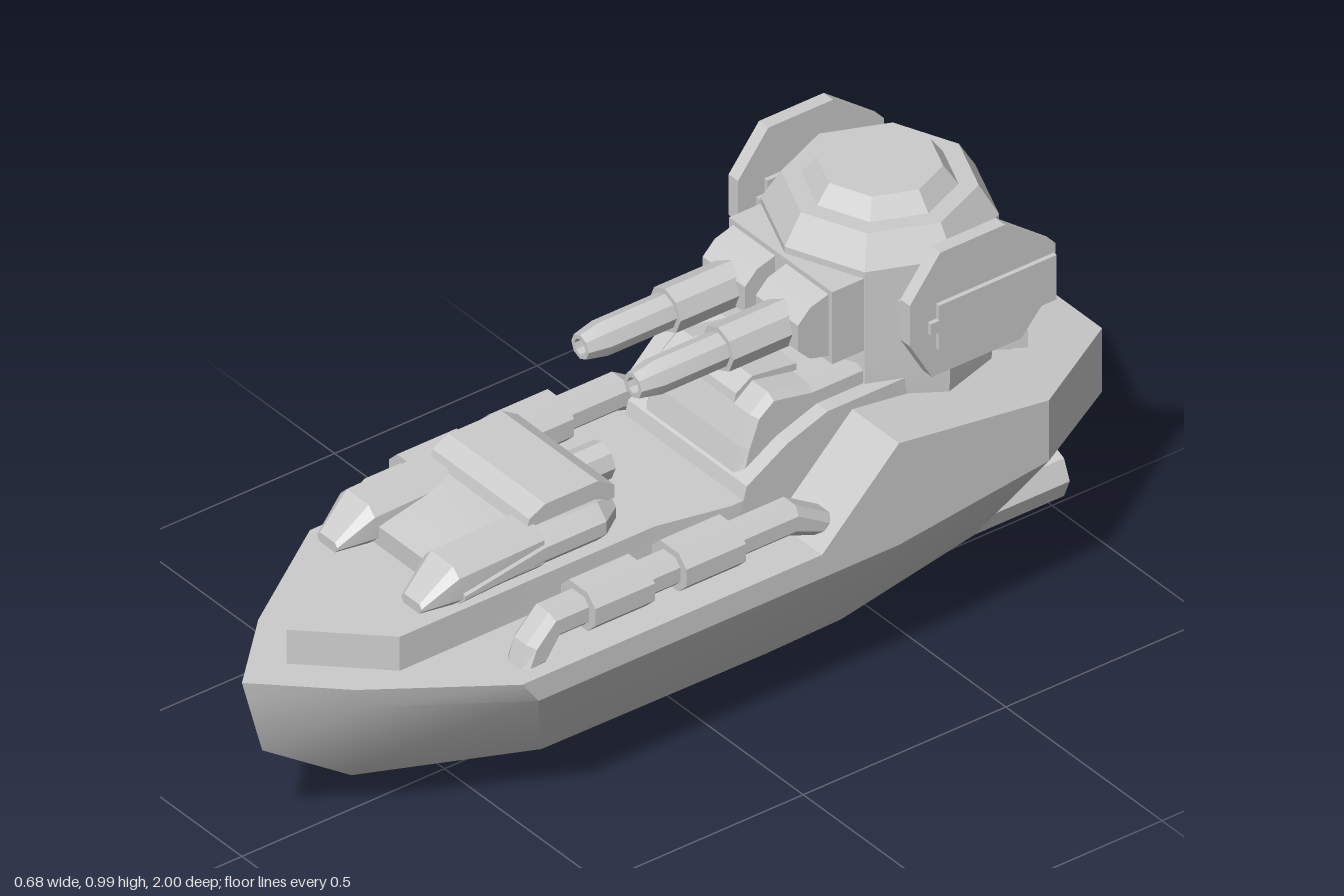
import * as THREE from 'three';
import { toCreasedNormals } from 'three/addons/utils/BufferGeometryUtils.js';

const material = new THREE.MeshStandardMaterial({ color: 0xcccccc });

// Skin between rings listed from bow to stern; each ring runs counterclockwise seen from +z.
function loft(rings, crease = 0.3) {
  const pos = [];
  const tri = (a, b, c) => pos.push(...a, ...b, ...c);
  const n = rings[0].length;
  for (let i = 0; i < rings.length - 1; i++) {
    for (let j = 0; j < n; j++) {
      const k = (j + 1) % n;
      const [a, b] = [rings[i][j], rings[i][k]];
      const [d, c] = [rings[i + 1][j], rings[i + 1][k]];
      tri(a, d, c);
      tri(a, c, b);
    }
  }
  const last = rings[rings.length - 1];
  for (let j = 1; j < n - 1; j++) {
    tri(rings[0][0], rings[0][j], rings[0][j + 1]);
    tri(last[0], last[j + 1], last[j]);
  }
  const g = new THREE.BufferGeometry();
  g.setAttribute('position', new THREE.Float32BufferAttribute(pos, 3));
  return toCreasedNormals(g, crease);
}

// Eight-sided bar along z with chamfered corners; stations are [z, halfWidth, bottom, top, chamfer].
function chamferedBar(stations, cx = 0) {
  return loft(stations.map(([z, h, b, t, c]) => [
    [h - c, b], [h, b + c], [h, t - c], [h - c, t],
    [c - h, t], [-h, t - c], [-h, b + c], [c - h, b],
  ].map(([x, y]) => [x + cx, y, z])));
}

// Side profile of [z, y] points given a width in x.
function sideProfile(points, width, cx = 0, bevel = 0) {
  const shape = new THREE.Shape(points.map(([z, y]) => new THREE.Vector2(z, y)));
  const depth = width - 2 * bevel;
  const g = new THREE.ExtrudeGeometry(shape, {
    depth, bevelEnabled: bevel > 0, bevelSize: bevel, bevelThickness: bevel, bevelOffset: -bevel, bevelSegments: 1,
  });
  return g.translate(0, 0, -depth / 2).rotateY(-Math.PI / 2).translate(cx, 0, 0);
}

// Faceted turned part about y.
function turned(points, sides = 8, crease = 0.3) {
  const g = new THREE.LatheGeometry(points.map(([r, y]) => new THREE.Vector2(r, y)), sides);
  return toCreasedNormals(g.toNonIndexed(), crease);
}

const box = (w, h, d, x, y, z) => new THREE.BoxGeometry(w, h, d).translate(x, y, z);

export function createModel() {
  const model = new THREE.Group();
  const add = (name, geometry) => {
    const mesh = new THREE.Mesh(geometry, material);
    mesh.name = name;
    model.add(mesh);
    return mesh;
  };

  // Hull lines from bow to stern: [x, y, z]
  const keel = [[0, .23, .95], [0, .08, .73], [0, 0, .2], [0, 0, -.17], [0, 0, -.36], [0, .08, -.72], [0, .24, -.95]];
  const chine = [[0, .23, .95], [.085, .16, .73], [.155, .08, .38], [.16, .08, -.17], [.155, .08, -.36], [.14, .13, -.7], [.08, .25, -.955]];
  const knuckle = [[0, .36, .985], [.145, .355, .82], [.34, .355, .53], [.34, .355, -.17], [.34, .355, -.36], [.34, .4, -.73], [.16, .355, -1]];
  const sheer = [[0, .41, 1], [.155, .41, .84], [.34, .41, .57], [.34, .41, -.17], [.34, .595, -.36], [.34, .543, -.73], [.16, .505, -1]];
  const flip = ([x, y, z]) => [-x, y, z];
  add('hull', loft(keel.map((k, i) => {
    const side = [chine[i], knuckle[i], sheer[i]];
    return [k, ...side, ...side.map(flip).reverse()];
  }), 0.55));

  // Raised foredeck
  const deckStations = [[.89, 0], [.73, .155], [.1, .155], [-.06, .19], [-.36, .19]];
  add('foredeck', loft(deckStations.map(([z, x]) => [[x, .4, z], [x, .49, z], [-x, .49, z], [-x, .4, z]])));

  // Bridge in front of the turret
  add('bridgeBase', sideProfile([[-.08, .45], [-.1, .52], [-.2, .58], [-.3, .615], [-.6, .615], [-.6, .45]], .38));
  add('bridge', sideProfile([[-.1, .5], [-.12, .58], [-.145, .645], [-.19, .68], [-.29, .66], [-.45, .66], [-.45, .5]], .31, 0, .015));
  add('bridgeRoof', sideProfile([[-.135, .6], [-.15, .665], [-.19, .69], [-.3, .675], [-.3, .6]], .18));

  // Foredeck hatch on its pedestal
  add('hatchPedestal', turned([[0, .485], [.13, .485], [.115, .53], [0, .53]]).translate(0, 0, .4));
  add('hatchBody', chamferedBar([
    [.6, .195, .525, .57, .018], [.58, .195, .525, .575, .02], [.4, .195, .525, .615, .03],
    [.25, .195, .525, .615, .03], [.2, .16, .535, .6, .02],
  ]));
  add('hatchLid', sideProfile([[.42, .6], [.41, .635], [.37, .655], [.24, .655], [.2, .63], [.2, .6]], .31));
  add('hatchKnob', new THREE.CylinderGeometry(.042, .042, .1, 8).toNonIndexed()
    .rotateX(Math.PI / 2).translate(0, .57, .16)).geometry.computeVertexNormals();
  for (const s of [-1, 1]) {
    add('hatchFender', chamferedBar([
      [.685, .032, .528, .55, .008], [.61, .055, .525, .615, .02], [.4, .055, .525, .62, .02],
    ], s * .135));
  }

  // Side pipes with their collars
  const pipe = [
    [.545, .4], [.525, .46], [.47, .515], [-.14, .515], [-.245, .45], [-.245, .4],
    [-.2, .42], [-.125, .45], [.445, .45], [.48, .4],
  ];
  for (const s of [-1, 1]) {
    add('sidePipe', sideProfile(pipe, .07, s * .275, .016));
    for (const z of [.01, .235]) {
      add('pipeCollar', chamferedBar([[z + .147, .055, .44, .53, .025], [z, .055, .44, .53, .025]], s * .275));
    }
  }

  // Turret
  const tz = -.575;
  add('turretNeck', turned([[0, .49], [.215, .49], [.225, .6], [.225, .67], [0, .67]]).translate(0, 0, tz));
  add('turretDome', turned([
    [0, .665], [.235, .665], [.235, .885], [.195, .95], [.155, .95], [.125, .99], [0, .99],
  ]).translate(0, 0, tz));
  add('gunFrame', box(.33, .17, .2, 0, .785, -.43));
  const barrel = [[0, -.3], [.05, -.3], [.05, -.11], [.038, -.11], [.038, .05], [.028, .1], [.018, .1], [.018, .06], [0, .06]];
  for (const s of [-1, 1]) {
    // Gun mounts and barrels
    add('gunMount', sideProfile([
      [-.255, .755], [-.255, .815], [-.285, .845], [-.335, .86], [-.4, .86], [-.4, .712], [-.335, .712], [-.285, .725],
    ], .135, s * .085));
    add('gunBarrel', turned(barrel).rotateX(Math.PI / 2).translate(s * .085, .785, 0));

    // Side shields with arms and backing blocks
    add('shieldArm', box(.12, .028, .17, s * .24, .795, -.555));
    add('sideShield', sideProfile([
      [-.425, .77], [-.425, .865], [-.5, .96], [-.66, .96], [-.785, .865], [-.785, .77], [-.7, .675], [-.48, .675],
    ], .03, s * .275));
    add('shieldBlock', box(.05, .105, .29, s * .275, .792, -.635));

    // Rear vents with cooling fins
    const vent = new THREE.Group();
    vent.name = 'rearVent';
    vent.add(new THREE.Mesh(box(.11, .065, .05, 0, 0, .015), material));
    for (let i = -2; i <= 2; i++) vent.add(new THREE.Mesh(box(.011, .065, .045, i * .023, 0, -.022), material));
    vent.position.set(s * .09, .54, -.8);
    vent.rotation.y = -s * Math.PI / 8;
    model.add(vent);

    // Thrusters under the stern
    const thruster = new THREE.CylinderGeometry(.063, .063, .33, 8).toNonIndexed();
    thruster.rotateX(Math.PI / 2).translate(s * .078, .16, -.77);
    thruster.computeVertexNormals();
    add('thruster', thruster);
  }

  return model;
}
